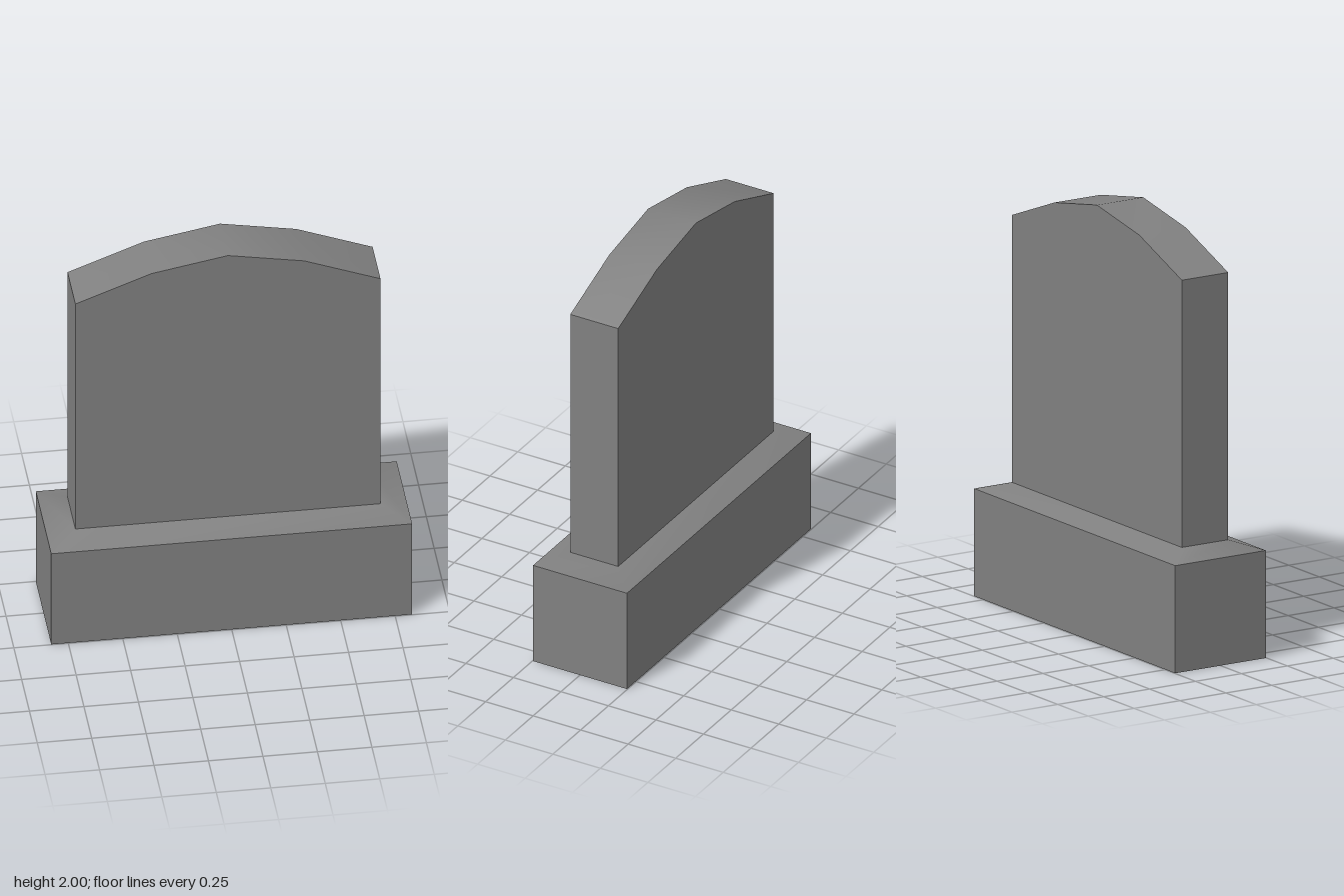
import * as THREE from 'three';

const stone = new THREE.MeshStandardMaterial({ color: 0x808080, side: THREE.DoubleSide });
stone.name = 'stone';

const BASE = { x: 0.828, z: 0.247, y: 0.505 };
const SLAB = { x: 0.70, z: 0.126, y: 0.545 };
// Arched outline, from the +x shoulder to the -x shoulder
const ARCH = [[0.70, 1.80], [0.35, 1.935], [0, 2], [-0.35, 1.935], [-0.70, 1.80]];

function indexed(positions, index) {
  const g = new THREE.BufferGeometry();
  g.setAttribute('position', new THREE.Float32BufferAttribute(positions, 3));
  g.setIndex(index);
  g.computeVertexNormals();
  return g;
}

// Open rectangular ring between two levels
function band(x0, z0, y0, x1, z1, y1, smooth) {
  const corners = [[1, 1], [1, -1], [-1, -1], [-1, 1]];
  const p = [], idx = [];
  corners.forEach(([sx, sz]) => p.push(sx * x0, y0, sz * z0, sx * x1, y1, sz * z1));
  for (let i = 0; i < 4; i++) {
    const a = 2 * i, b = 2 * ((i + 1) % 4);
    idx.push(a, b, b + 1, a, b + 1, a + 1);
  }
  const g = indexed(p, idx);
  if (smooth) return g;
  const flat = g.toNonIndexed();
  flat.computeVertexNormals();
  return flat;
}

// Strip that sweeps an outline across the slab's thickness
function strip(points) {
  const p = [], idx = [];
  points.forEach(([x, y], i) => {
    p.push(x, y, SLAB.z, x, y, -SLAB.z);
    if (i) {
      const a = 2 * (i - 1);
      idx.push(a, a + 1, a + 3, a, a + 3, a + 2);
    }
  });
  return indexed(p, idx);
}

export function createModel() {
  const model = new THREE.Group();
  model.name = 'headstone';
  const add = (parent, name, geometry) => {
    const mesh = new THREE.Mesh(geometry, stone);
    mesh.name = name;
    parent.add(mesh);
    return mesh;
  };

  // Plinth, open underneath, with a softly shaded sloping top
  add(model, 'plinthWalls', band(BASE.x, BASE.z, 0, BASE.x, BASE.z, BASE.y, false));
  add(model, 'plinthSlope', band(BASE.x, BASE.z, BASE.y, SLAB.x, SLAB.z, SLAB.y, true));

  // Upright slab
  const slab = new THREE.Group();
  slab.name = 'slab';
  model.add(slab);
  const outline = [[-SLAB.x, SLAB.y], [SLAB.x, SLAB.y], ...ARCH];
  const face = new THREE.ShapeGeometry(new THREE.Shape(outline.map(([x, y]) => new THREE.Vector2(x, y))));
  add(slab, 'frontFace', face).position.z = SLAB.z;
  const back = add(slab, 'backFace', face);
  back.rotation.y = Math.PI;
  back.position.z = -SLAB.z;
  add(slab, 'leftSide', strip([[SLAB.x, SLAB.y], ARCH[0]]));
  add(slab, 'rightSide', strip([ARCH[4], [-SLAB.x, SLAB.y]]));
  add(slab, 'archedTop', strip(ARCH));

  return model;
}
